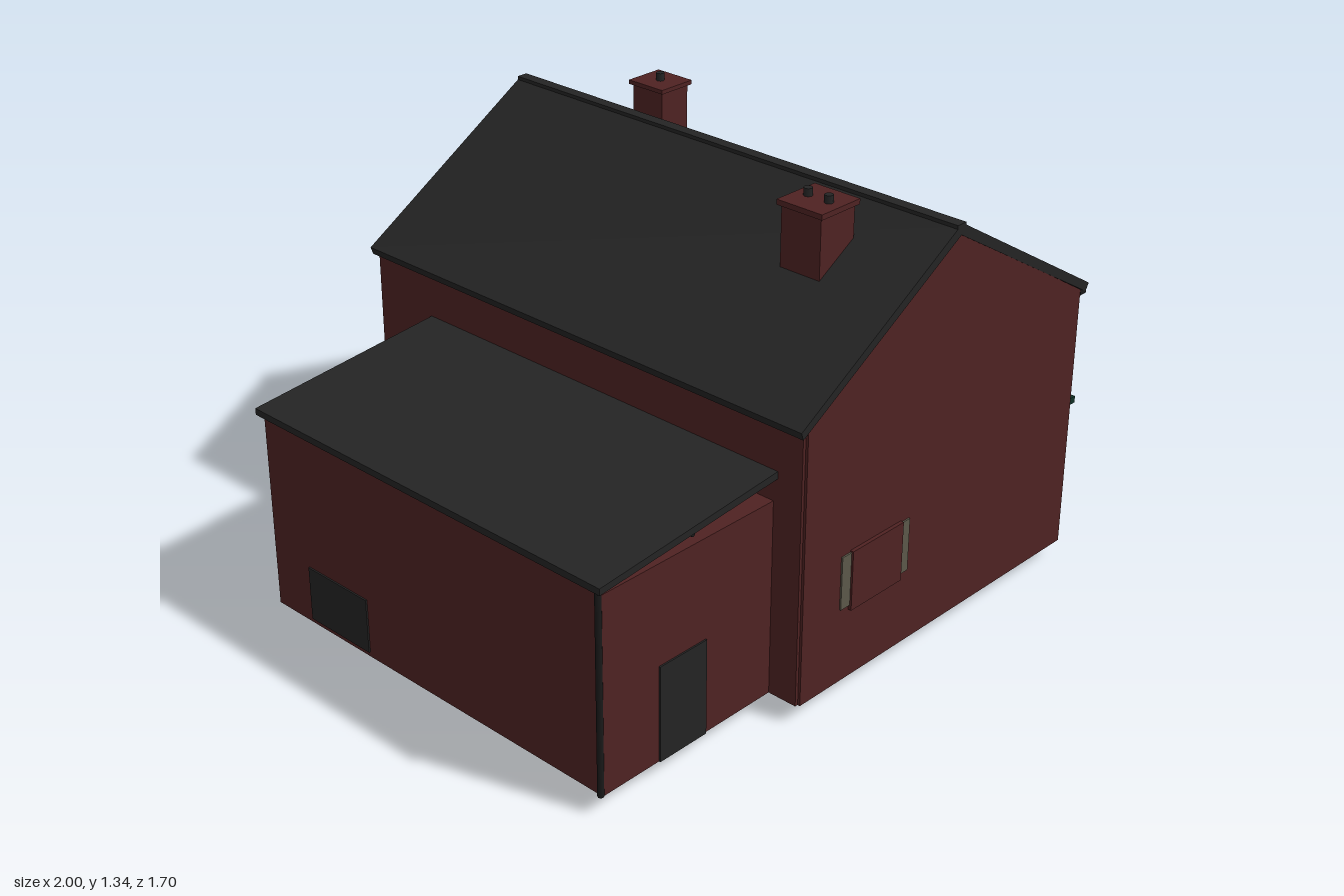
import * as THREE from 'three';

const material = (name, color, double) => {
  const m = new THREE.MeshStandardMaterial({ color });
  m.name = name;
  if (double) m.side = THREE.DoubleSide;
  return m;
};

export function createModel() {
  const brick = material('brick', 0x4f2222, true);
  const slate = material('slate', 0x242424, true);
  const stone = material('stone', 0x7e7058);
  const green = material('shopGreen', 0x0f3026);
  const timber = material('timber', 0xa48148);
  const glow = material('litGlass', 0xd3ae7a);
  const olive = material('oliveGlass', 0x918d67);
  const grey = material('greyBoard', 0x5c584a);
  const iron = material('iron', 0x191919);
  const doorRed = material('doorRed', 0x552323);

  const model = new THREE.Group();
  model.name = 'cornerPub';
  const group = (name) => {
    const g = new THREE.Group();
    g.name = name;
    model.add(g);
    return g;
  };
  const add = (parent, name, geo, mat) => {
    const mesh = new THREE.Mesh(geo, mat);
    mesh.name = name;
    parent.add(mesh);
    return mesh;
  };
  // Box given by its limits on each axis
  const box = (parent, name, mat, x0, x1, y0, y1, z0, z1) => {
    const mesh = add(parent, name, new THREE.BoxGeometry(x1 - x0, y1 - y0, z1 - z0), mat);
    mesh.position.set((x0 + x1) / 2, (y0 + y1) / 2, (z0 + z1) / 2);
    return mesh;
  };
  const shape = (pts) => new THREE.Shape(pts.map(([a, b]) => new THREE.Vector2(a, b)));
  // x-y profile extruded along z
  const profile = (parent, name, mat, pts, z0, z1) => {
    const geo = new THREE.ExtrudeGeometry(shape(pts), { depth: z1 - z0, bevelEnabled: false });
    return add(parent, name, geo.translate(0, 0, z0), mat);
  };
  // x-z plan extruded upwards
  const plan = (parent, name, mat, pts, y0, y1) => {
    const geo = new THREE.ExtrudeGeometry(shape(pts.map(([x, z]) => [x, -z])), { depth: y1 - y0, bevelEnabled: false });
    return add(parent, name, geo.rotateX(-Math.PI / 2).translate(0, y0, 0), mat);
  };
  const rod = (parent, name, mat, a, b, r) => {
    const from = new THREE.Vector3(...a), dir = new THREE.Vector3(...b).sub(from);
    const mesh = add(parent, name, new THREE.CylinderGeometry(r, r, dir.length(), 8), mat);
    mesh.position.copy(from).addScaledVector(dir, 0.5);
    mesh.quaternion.setFromUnitVectors(new THREE.Vector3(0, 1, 0), dir.normalize());
    return mesh;
  };

  // Main house: an open shell of walls under a pitched roof
  const house = group('house');
  const gable = [[-0.34, 0.055], [0.858, 0.055], [0.858, 0.89], [0.26, 1.25], [-0.34, 0.89]];
  profile(house, 'frontGable', brick, gable, 0.825, 0.838);
  profile(house, 'backGable', brick, gable, -0.838, -0.825);
  box(house, 'rearWall', brick, -0.35, -0.335, 0.055, 0.89, -0.83, 0.83);
  box(house, 'streetWall', brick, 0.84, 0.856, 0.055, 0.89, -0.83, 0.83);
  box(house, 'stoneFacing', stone, 0.85, 0.862, 0.5, 0.885, -0.822, 0.815);
  profile(house, 'roof', slate, [[-0.37, 0.9], [-0.362, 0.877], [0.26, 1.247], [0.882, 0.877],
    [0.895, 0.9], [0.275, 1.273], [0.25, 1.273]], -0.845, 0.84);
  box(house, 'ridge', slate, 0.242, 0.278, 1.262, 1.279, -0.845, 0.84);
  box(house, 'gutter', iron, 0.86, 0.887, 0.87, 0.888, -0.84, 0.838);
  rod(house, 'streetDownpipe', iron, [0.872, 0.52, 0.81], [0.872, 0.875, 0.81], 0.009);

  // Lean-to extension with a raised sloping roof
  const leanTo = group('extension');
  box(leanTo, 'extensionWalls', brick, -0.985, -0.34, 0.055, 0.655, -0.585, 0.735);
  profile(leanTo, 'extensionRoof', slate,
    [[-1, 0.667], [-0.34, 0.726], [-0.34, 0.748], [-1, 0.687]], -0.603, 0.748);
  rod(leanTo, 'roofRail', iron, [-0.65, 0.68, -0.58], [-0.65, 0.68, 0.73], 0.007);
  rod(leanTo, 'rearDownpipe', iron, [-0.988, 0.055, 0.73], [-0.988, 0.67, 0.73], 0.009);
  box(leanTo, 'sideDoor', slate, -0.78, -0.605, 0.055, 0.35, 0.732, 0.74);
  box(leanTo, 'rearHatch', slate, -0.99, -0.982, 0.07, 0.24, -0.43, -0.18);
  box(leanTo, 'extensionVent', grey, -0.94, -0.79, 0.42, 0.51, -0.59, -0.582);

  // Boards on the gable walls
  box(house, 'shutterBoard', grey, -0.187, 0.1, 0.29, 0.455, 0.835, 0.843);
  box(house, 'blockedWindow', brick, -0.15, 0.065, 0.275, 0.46, 0.835, 0.849);
  box(house, 'gableBoard', grey, 0.47, 0.67, 0.64, 0.735, -0.848, -0.836);

  // Chimney stacks with caps and pots
  const chimney = (x, z, w, d, base, top, cap, potTop, pots) => {
    const g = group('chimney');
    box(g, 'stack', brick, x - w / 2, x + w / 2, base, top, z - d / 2, z + d / 2);
    box(g, 'cap', brick, x - w / 2 - 0.009, x + w / 2 + 0.009, top - cap, top, z - d / 2 - 0.01, z + d / 2 + 0.01);
    pots.forEach((p) => rod(g, 'pot', slate, [x, top - 0.01, z + p], [x, potTop, z + p], 0.013));
  };
  chimney(0.063, 0.512, 0.138, 0.138, 1.08, 1.315, 0.016, 1.338, [-0.036, 0.036]);
  chimney(0.502, -0.488, 0.112, 0.12, 1.08, 1.288, 0.013, 1.312, [0]);

  // Upper sash windows
  [0.515, 0, -0.52].forEach((z) => {
    const g = group('sashWindow');
    box(g, 'surround', timber, 0.858, 0.867, 0.562, 0.832, z - 0.118, z + 0.118);
    box(g, 'glass', z === 0 ? olive : glow, 0.864, 0.87, 0.572, 0.815, z - 0.096, z + 0.096);
    box(g, 'sill', timber, 0.86, 0.883, 0.556, 0.57, z - 0.13, z + 0.13);
    box(g, 'meetingRail', timber, 0.864, 0.875, 0.695, 0.71, z - 0.1, z + 0.1);
    box(g, 'glazingBar', timber, 0.864, 0.873, 0.57, 0.818, z - 0.008, z + 0.008);
    for (const s of [-1, 1]) {
      const c = z + s * 0.105;
      box(g, 'frameSide', timber, 0.86, 0.876, 0.565, 0.83, c - 0.009, c + 0.009);
    }
    box(g, 'frameHead', timber, 0.86, 0.876, 0.815, 0.83, z - 0.11, z + 0.11);
  });

  // Green shopfront
  const shop = group('shopfront');
  box(shop, 'backing', green, 0.85, 0.866, 0.055, 0.51, -0.82, 0.81);
  box(shop, 'fascia', green, 0.86, 0.882, 0.455, 0.51, -0.8, 0.8);
  box(shop, 'cornice', green, 0.855, 0.896, 0.507, 0.528, -0.83, 0.828);
  for (const s of [-1, 1]) {
    for (const [c, w] of [[0.755, 0.07], [0.185, 0.08]]) {
      box(shop, 'pilaster', green, 0.86, 0.88, 0.055, 0.49, s * c - w / 2, s * c + w / 2);
      box(shop, 'plinth', green, 0.86, 0.89, 0.055, 0.11, s * c - w / 2 - 0.006, s * c + w / 2 + 0.006);
      box(shop, 'capital', green, 0.86, 0.89, 0.475, 0.507, s * c - w / 2 - 0.006, s * c + w / 2 + 0.006);
    }
    // Canted bay window
    const bay = group('bayWindow');
    const c = s * 0.467;
    const outline = (e) => [[0.855, c - 0.235 - e], [0.865 + e, c - 0.235 - e], [0.907 + e, c - 0.155],
      [0.907 + e, c + 0.155], [0.865 + e, c + 0.235 + e], [0.855, c + 0.235 + e]];
    plan(bay, 'stallRiser', green, outline(0.001), 0.055, 0.18);
    plan(bay, 'baySill', green, outline(0.004), 0.178, 0.192);
    plan(bay, 'bayGlass', glow, outline(-0.005), 0.19, 0.452);
    plan(bay, 'transom', green, outline(0.001), 0.41, 0.427);
    plan(bay, 'bayHead', green, outline(0.002), 0.45, 0.468);
    for (const d of [-0.155, 0, 0.155]) {
      box(bay, 'mullion', green, 0.893, 0.909, 0.185, 0.455, c + d - 0.009, c + d + 0.009);
    }
    for (const d of [-0.077, 0.077]) {
      box(bay, 'thinMullion', green, 0.898, 0.907, 0.19, 0.455, c + d - 0.006, c + d + 0.006);
    }
    for (const d of [-0.235, 0.235]) {
      box(bay, 'cornerPost', green, 0.86, 0.874, 0.055, 0.46, c + d - 0.007, c + d + 0.007);
    }
    for (const d of [-0.11, 0, 0.11]) {
      box(bay, 'riserStripe', doorRed, 0.904, 0.91, 0.08, 0.16, c + d - 0.004, c + d + 0.004);
    }
  }

  // Entrance with fanlight and flat canopy
  const entry = group('entrance');
  for (const s of [-1, 1]) {
    box(entry, 'doorPost', timber, 0.86, 0.879, 0.1, 0.415, s * 0.117 - 0.014, s * 0.117 + 0.014);
    for (const [y0, y1] of [[0.11, 0.195], [0.22, 0.315]]) {
      box(entry, 'doorPanel', doorRed, 0.87, 0.877, y0, y1, s * 0.047 - 0.036, s * 0.047 + 0.036);
    }
  }
  box(entry, 'doorHead', timber, 0.86, 0.879, 0.382, 0.415, -0.131, 0.131);
  box(entry, 'fanlight', glow, 0.864, 0.872, 0.33, 0.384, -0.088, 0.088);
  box(entry, 'door', doorRed, 0.862, 0.872, 0.1, 0.32, -0.1, 0.1);
  box(entry, 'doorRail', green, 0.866, 0.876, 0.2, 0.215, -0.1, 0.1);
  box(entry, 'doorHandle', timber, 0.87, 0.885, 0.21, 0.25, -0.064, -0.052);
  box(entry, 'canopy', slate, 0.86, 1, 0.416, 0.437, -0.185, 0.185);

  // Upright board under the doorway
  box(entry, 'stepBoard', olive, 0.79, 0.91, 0, 0.1, -0.008, 0.008);
  box(entry, 'boardTop', iron, 0.9, 0.908, 0.1, 0.14, -0.004, 0.004);

  // Wall bracket
  const bracket = group('signBracket');
  rod(bracket, 'bracketArm', iron, [0.86, 0.635, -0.257], [0.98, 0.635, -0.257], 0.006);
  rod(bracket, 'bracketBrace', iron, [0.864, 0.575, -0.257], [0.915, 0.635, -0.257], 0.006);

  return model;
}
